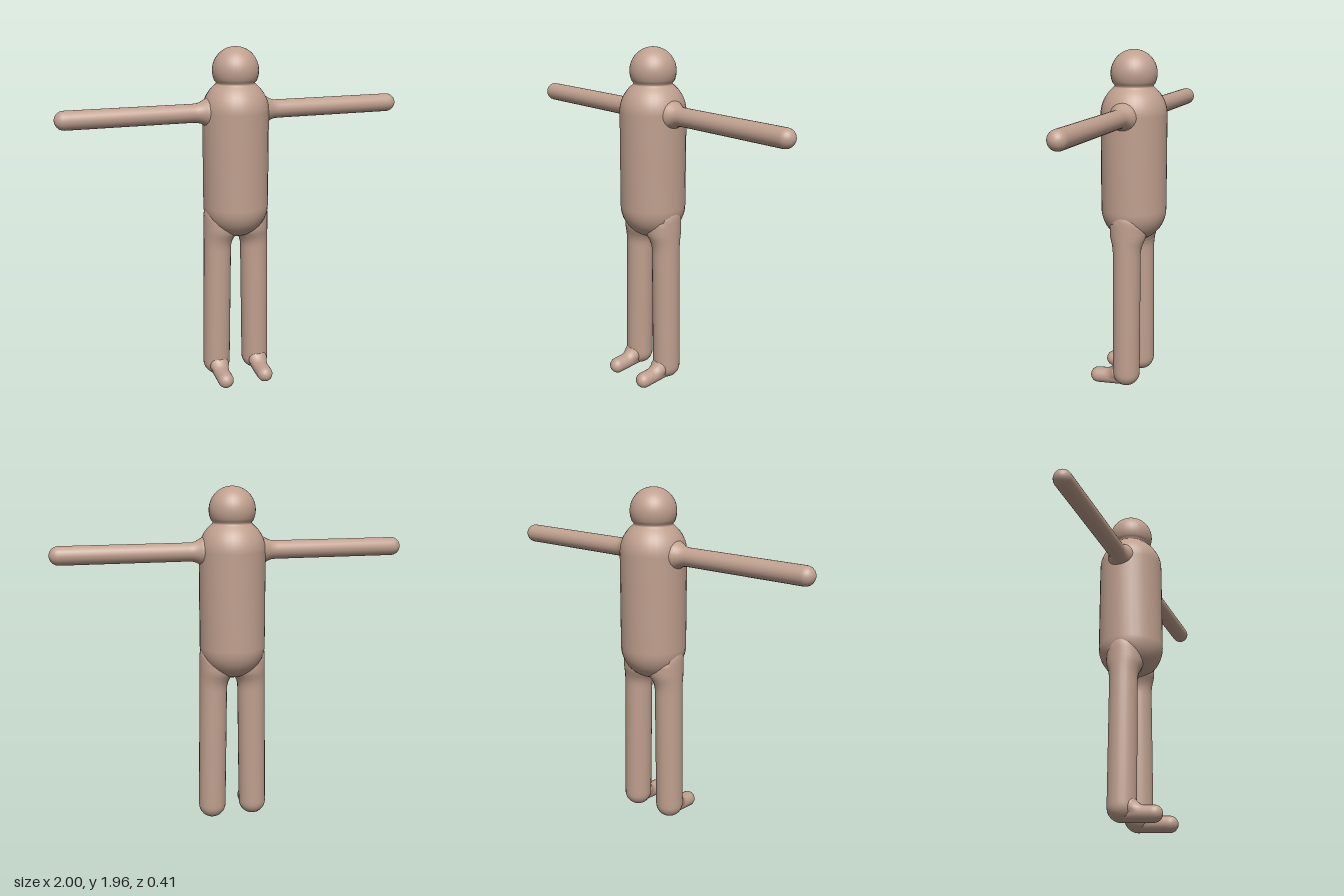
import * as THREE from 'three';
import { mergeVertices } from 'three/addons/utils/BufferGeometryUtils.js';

const skin = new THREE.MeshStandardMaterial({ color: 0xc0a08f });
const V = (x, y, z) => new THREE.Vector3(x, y, z);

// Lathe with a seamless smooth surface; profile runs bottom to top as [radius, height]
function turn(profile, segments) {
  const geo = new THREE.LatheGeometry(profile.map(([r, y]) => new THREE.Vector2(r, y)), segments);
  geo.deleteAttribute('uv');
  geo.deleteAttribute('normal');
  return mergeVertices(geo, 1e-5);
}

// Points on a circle from angle a to b, measured up from the equator
function arc(radius, centre, a, b, steps) {
  return Array.from({ length: steps + 1 }, (_, i) => {
    const t = a + (b - a) * i / steps;
    return [Math.max(0, radius * Math.cos(t)), centre + radius * Math.sin(t)];
  });
}

// Capsule between two centres, swelling by `flare` around distance `at`
// so that it blends into its neighbour; weight(dir) limits it to some sides
function limb(name, from, to, radius, { flare, at, width, weight = () => 1 }) {
  const axis = to.clone().sub(from);
  const length = axis.length();
  axis.normalize();
  const profile = arc(radius, 0, -Math.PI / 2, 0, 6);
  for (let i = 1; i < 40; i++) profile.push([radius, length * i / 40]);
  profile.push(...arc(radius, length, 0, Math.PI / 2, 8));
  const geo = turn(profile, 24);
  geo.applyQuaternion(new THREE.Quaternion().setFromUnitVectors(V(0, 1, 0), axis));
  const pos = geo.attributes.position, p = V(), dir = V();
  for (let i = 0; i < pos.count; i++) {
    p.fromBufferAttribute(pos, i);
    const d = p.dot(axis);
    dir.copy(p).addScaledVector(axis, -d);
    const size = dir.length();
    if (size > 1e-5 && d >= 0) {
      dir.divideScalar(size);
      const k = Math.max(0, 1 - Math.max(0, d - at) / width);
      p.addScaledVector(dir, flare * k * k * weight(dir));
    }
    p.add(from);
    pos.setXYZ(i, p.x, p.y, p.z);
  }
  geo.computeVertexNormals();
  const mesh = new THREE.Mesh(geo, skin);
  mesh.name = name;
  return mesh;
}

export function createModel() {
  const model = new THREE.Group();
  model.name = 'figure';
  const z = -0.02;

  // Torso and head in one turned form with a soft neck crease
  const body = turn([
    ...arc(0.187, 1.07, -Math.PI / 2, 0, 12),
    ...arc(0.187, 1.61, 0, 0.86, 8),
    [0.111, 1.762], [0.108, 1.77],
    ...arc(0.13, 1.835, -0.44, Math.PI / 2, 20),
  ], 32);
  body.computeVertexNormals();
  const torso = new THREE.Mesh(body, skin);
  torso.name = 'torsoAndHead';
  torso.position.z = z;
  model.add(torso);

  for (const [side, s] of [['left', 1], ['right', -1]]) {
    // Arm, flaring softly into the shoulder
    model.add(limb(side + 'Arm', V(s * 0.1, 1.61, z), V(s * 0.948, 1.61, z), 0.052,
      { flare: 0.03, at: 0.07, width: 0.07 }));

    // Leg, filling out on the inner side to form the crotch
    model.add(limb(side + 'Leg', V(s * 0.11, 1.02, z), V(s * 0.123, 0.095, z), 0.08,
      { flare: 0.045, at: 0.1, width: 0.1, weight: d => (1 - s * d.x) / 2 }));

    // Foot, rising into the ankle
    model.add(limb(side + 'Foot', V(s * 0.123, 0.062, z), V(s * 0.123, 0.046, 0.159), 0.046,
      { flare: 0.04, at: 0.065, width: 0.06, weight: d => Math.max(0, d.y) }));
  }
  return model;
}
